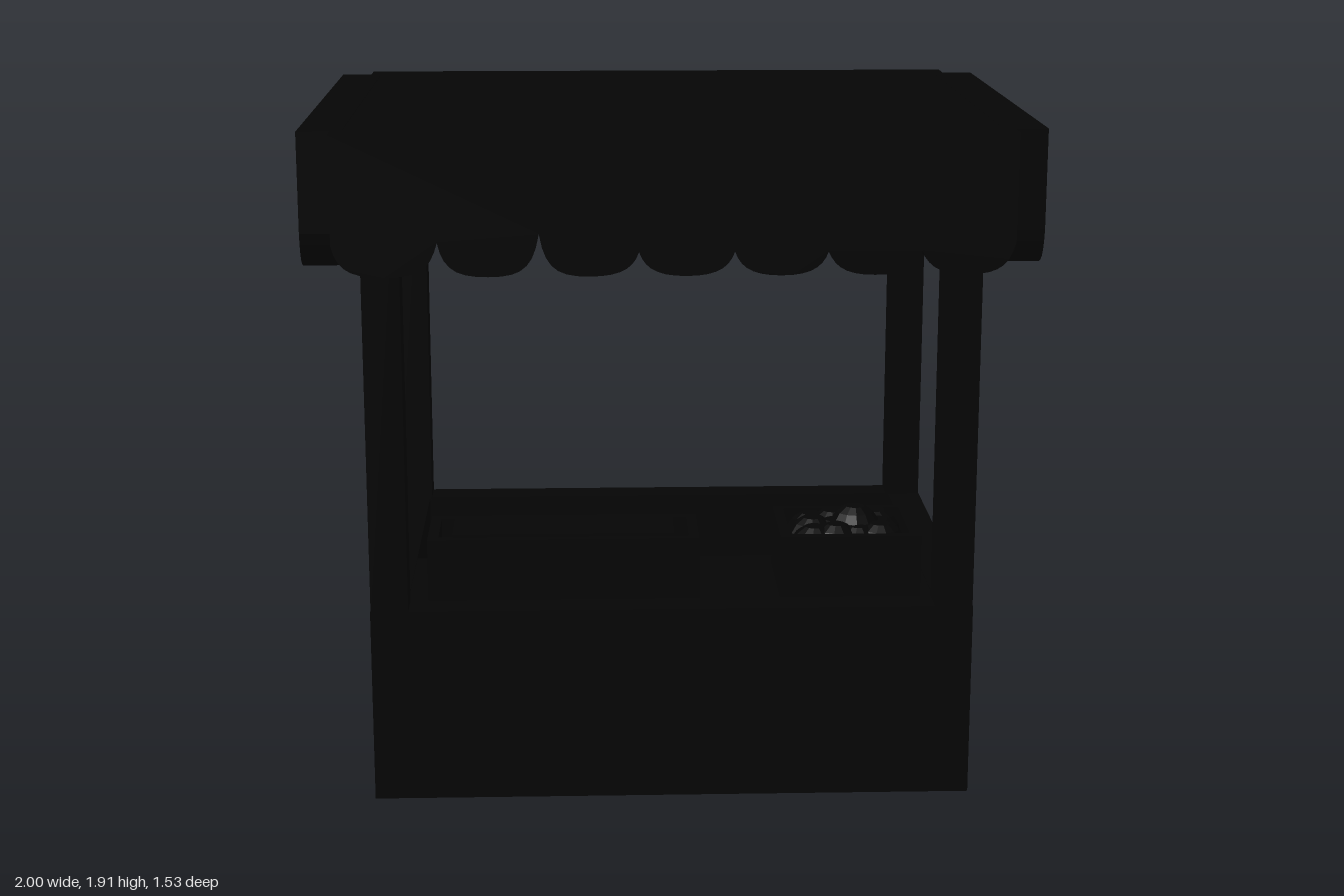
import * as THREE from 'three';

const material = new THREE.MeshStandardMaterial({ color: 0x050505, flatShading: true });

function add(parent, name, geometry, x = 0, y = 0, z = 0) {
  const mesh = new THREE.Mesh(geometry, material);
  mesh.name = name;
  mesh.position.set(x, y, z);
  parent.add(mesh);
  return mesh;
}

// Box given by its minimum and maximum on each axis
function box(parent, name, [x0, x1], [y0, y1], [z0, z1]) {
  return add(parent, name, new THREE.BoxGeometry(x1 - x0, y1 - y0, z1 - z0),
    (x0 + x1) / 2, (y0 + y1) / 2, (z0 + z1) / 2);
}

// Open-topped tray: floor and four walls
function tray(parent, name, [x0, x1], [y0, y1], [z0, z1], t, floor) {
  const g = new THREE.Group();
  g.name = name;
  box(g, name + 'Floor', [x0, x1], [y0, y0 + floor], [z0, z1]);
  const ys = [y0 + floor, y1];
  box(g, name + 'Front', [x0, x1], ys, [z1 - t, z1]);
  box(g, name + 'Back', [x0, x1], ys, [z0, z0 + t]);
  box(g, name + 'Right', [x0, x0 + t], ys, [z0 + t, z1 - t]);
  box(g, name + 'Left', [x1 - t, x1], ys, [z0 + t, z1 - t]);
  parent.add(g);
  return g;
}

// Thick cloth strip with rounded tongues between the cusps
function valance(cusps, top, bottom, cuspHeights, depth) {
  const shape = new THREE.Shape();
  const last = cusps.length - 1;
  shape.moveTo(cusps[0], top);
  for (let i = 0; i < last; i++) {
    const a = cusps[i], b = cusps[i + 1], mid = (a + b) / 2;
    shape.lineTo(a, cuspHeights[i]);
    shape.bezierCurveTo(a + 0.015, bottom + 0.02, a + 0.05, bottom, mid, bottom);
    shape.bezierCurveTo(b - 0.05, bottom, b - 0.015, bottom + 0.02, b, cuspHeights[i + 1]);
  }
  shape.lineTo(cusps[last], top);
  return new THREE.ExtrudeGeometry(shape, { depth, bevelEnabled: false, curveSegments: 7 });
}

export function createModel() {
  const model = new THREE.Group();
  model.name = 'marketStall';

  // Hollow base with a counter along the front
  tray(model, 'base', [-0.847, 0.847], [0, 0.558], [-0.63, 0.63], 0.1, 0.04);
  box(model, 'counter', [-0.747, 0.747], [0.04, 0.555], [0.12, 0.53]);

  // Corner posts
  for (const sx of [-1, 1]) {
    for (const sz of [-1, 1]) {
      add(model, 'post', new THREE.BoxGeometry(0.105, 1.32, 0.1), sx * 0.793, 1.21, sz * 0.58);
    }
  }

  // Beams joining the post tops
  for (const s of [-1, 1]) {
    add(model, 'longBeam', new THREE.BoxGeometry(1.49, 0.1, 0.08), 0, 1.7, s * 0.58);
    add(model, 'shortBeam', new THREE.BoxGeometry(0.08, 0.1, 1.07), s * 0.793, 1.7, 0);
  }

  // Flat canopy with scalloped strips on all sides
  const canopy = new THREE.Group();
  canopy.name = 'canopy';
  model.add(canopy);
  box(canopy, 'roof', [-0.9, 0.9], [1.86, 1.912], [-0.68, 0.68]);
  const longStrip = valance([-0.91, -0.63, -0.36, -0.095, 0.16, 0.41, 0.66, 0.91],
    1.914, 1.535, [1.62, 1.63, 1.65, 1.6, 1.6, 1.6, 1.6, 1.62], 0.105);
  const sideStrip = valance([-0.685, -0.41, -0.14, 0.13, 0.4, 0.685],
    1.913, 1.535, [1.64, 1.65, 1.65, 1.65, 1.65, 1.64], 0.12);
  add(canopy, 'frontValance', longStrip, 0, 0, 0.66);
  add(canopy, 'backValance', longStrip, 0, 0, -0.765);
  add(canopy, 'leftValance', sideStrip, 0.88, 0, 0).rotation.y = Math.PI / 2;
  add(canopy, 'rightValance', sideStrip, -1, 0, 0).rotation.y = Math.PI / 2;

  // Long crate filled nearly level
  tray(model, 'longCrate', [-0.69, 0.08], [0.555, 0.735], [0.28, 0.53], 0.03, 0.03);
  box(model, 'longCrateFill', [-0.62, 0.01], [0.585, 0.742], [0.311, 0.499]);

  // Square crate with a heap of round produce
  tray(model, 'squareCrate', [0.31, 0.71], [0.555, 0.735], [0.21, 0.53], 0.03, 0.03);
  const fruit = new THREE.SphereGeometry(0.075, 12, 8);
  for (let i = 0; i < 4; i++) {
    for (let j = 0; j < 3; j++) {
      const heap = add(model, 'fruit', fruit, 0.415 + i * 0.063, 0.672 + ((i + j) % 2) * 0.007, 0.3 + j * 0.07);
      heap.rotation.y = i + j * 2;
    }
  }
  add(model, 'topFruit', fruit, 0.535, 0.715, 0.38);

  return model;
}
